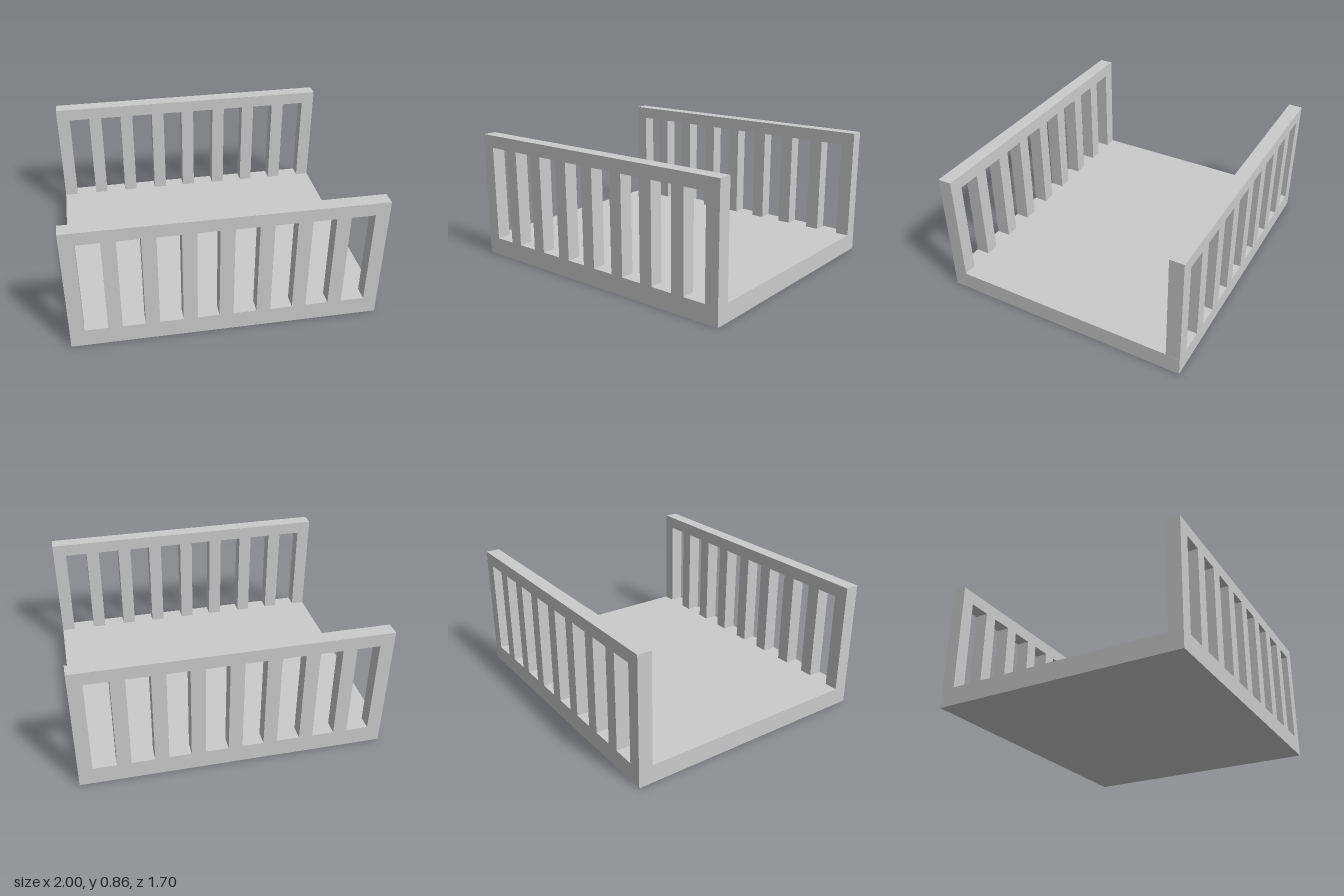
import * as THREE from 'three';

const FLOOR = 0.122, RAIL = 0.778, TOP = 0.864; // heights
const DEPTH = 0.852, THICK = 0.094;             // half depth, railing thickness
const POST = 0.091;
const POST_X = [-0.954, -0.715, -0.479, -0.238, -0.007, 0.235, 0.47, 0.71, 0.954];

export function createModel() {
  const group = new THREE.Group();
  const material = new THREE.MeshStandardMaterial({ color: 0xcccccc, flatShading: true });

  // Box resting on height y0 and reaching y1
  function addBox(parent, name, width, y0, y1, depth, x = 0) {
    const mesh = new THREE.Mesh(new THREE.BoxGeometry(width, y1 - y0, depth), material);
    mesh.name = name;
    mesh.position.set(x, (y0 + y1) / 2, 0);
    parent.add(mesh);
  }

  // Floor slab
  addBox(group, 'floor', 2, 0, FLOOR, DEPTH * 2);

  // Matching railings along the front and back edges
  for (const [name, side] of [['frontRailing', 1], ['backRailing', -1]]) {
    const railing = new THREE.Group();
    railing.name = name;
    railing.position.z = side * (DEPTH - THICK / 2);
    addBox(railing, 'topRail', 2, RAIL, TOP, THICK);
    POST_X.forEach((x, i) => addBox(railing, `post${i + 1}`, POST, FLOOR, RAIL, THICK, x));
    group.add(railing);
  }
  return group;
}
